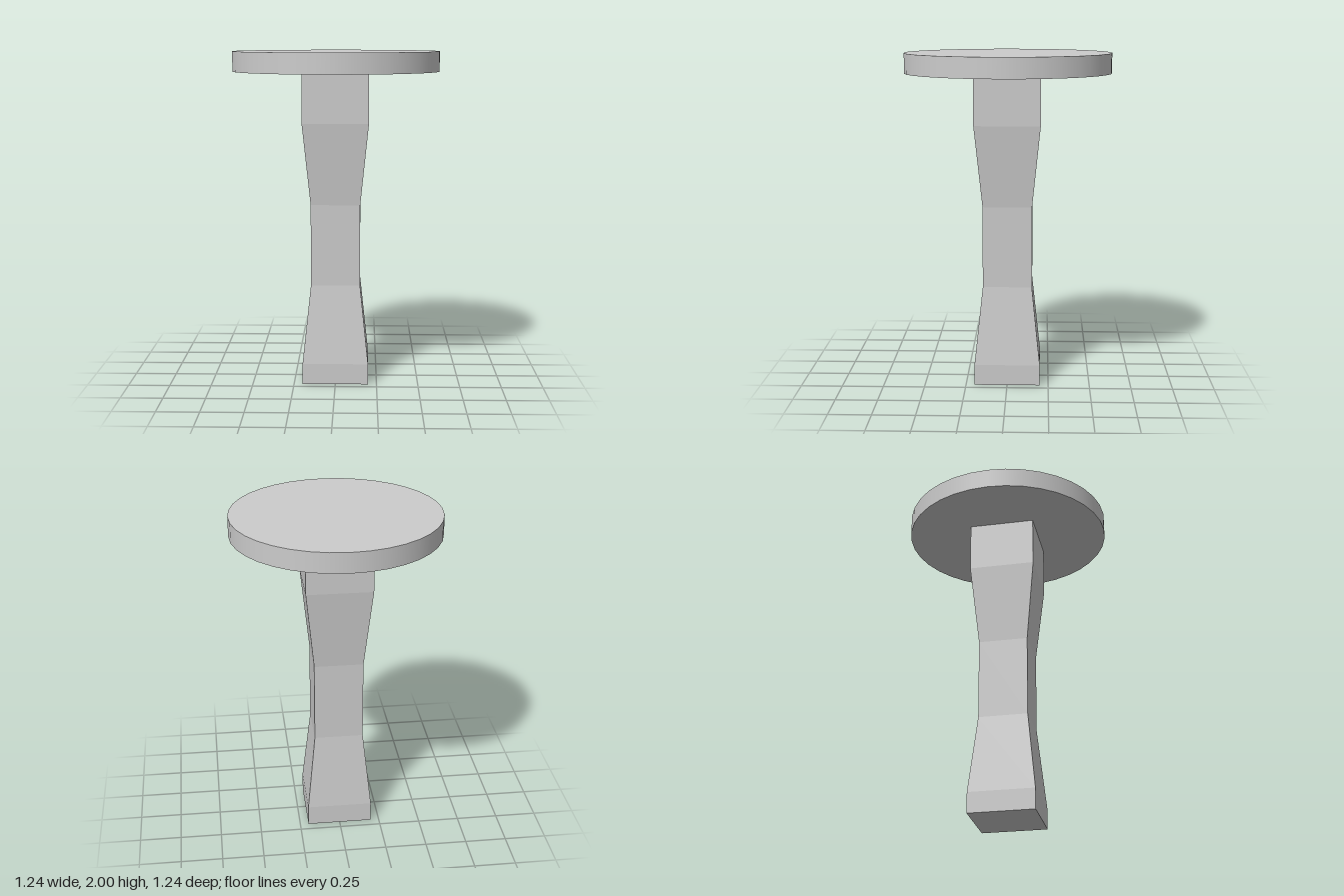
import * as THREE from 'three';

export function createModel() {
  const group = new THREE.Group();
  const addPart = (name, geometry, options = {}) => {
    const material = new THREE.MeshStandardMaterial({ color: 0xcccccc, ...options });
    const mesh = new THREE.Mesh(geometry, material);
    mesh.name = name;
    group.add(mesh);
    return mesh;
  };

  // Square waisted pedestal: [half width, height], turned with four sides
  const profile = [
    [0, 0], [0.198, 0], [0.198, 0.125], [0.148, 0.6],
    [0.148, 1.09], [0.198, 1.58], [0.198, 1.88],
  ].map(([half, y]) => new THREE.Vector2(half * Math.SQRT2, y));
  const pedestal = new THREE.LatheGeometry(profile, 4, Math.PI / 4).toNonIndexed();
  pedestal.computeVertexNormals();
  addPart('pedestal', pedestal, { flatShading: true });

  // Round top slab
  const thickness = 0.12;
  const top = addPart('roundTop', new THREE.CylinderGeometry(0.62, 0.62, thickness, 36));
  top.position.y = 2 - thickness / 2;

  return group;
}
